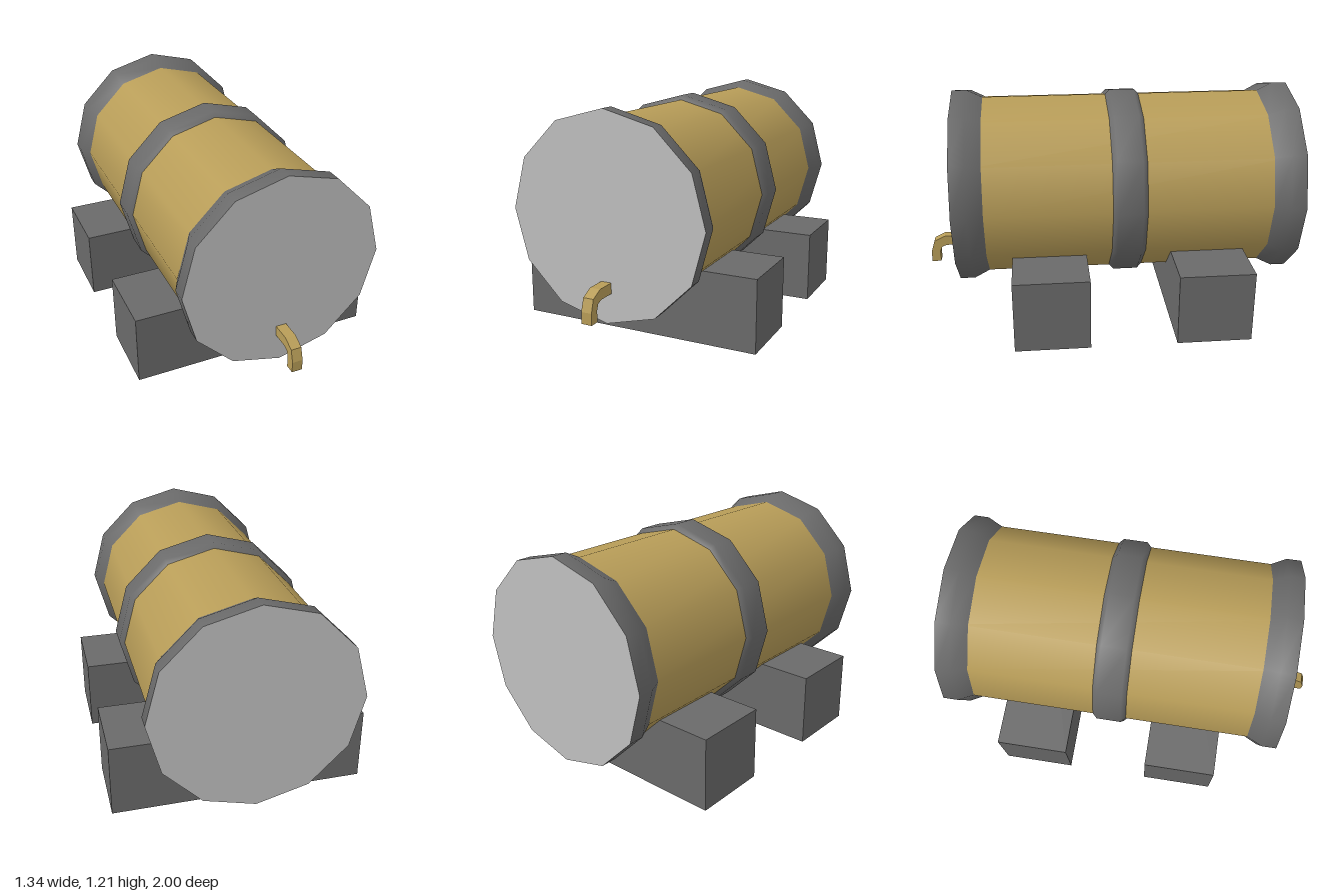
import * as THREE from 'three';

const CENTRE_Y = 0.68;
const SIDES = 12;

function createMaterials() {
  const make = (name, color, extra = {}) => {
    const m = new THREE.MeshStandardMaterial({ color, ...extra });
    m.name = name;
    return m;
  };
  return {
    gold: make('gold', 0xb89d58),
    darkGrey: make('dark grey', 0x6a6a6a, { side: THREE.DoubleSide }),
    lightGrey: make('light grey', 0xc0c0c0),
  };
}

export function createModel() {
  const group = new THREE.Group();
  const mat = createMaterials();

  const add = (name, geometry, material, x = 0, y = 0, z = 0) => {
    const mesh = new THREE.Mesh(geometry, material);
    mesh.name = name;
    mesh.position.set(x, y, z);
    group.add(mesh);
    return mesh;
  };

  // Twelve-sided shell around the z axis; profile is [radius, z] with z rising
  const shell = (profile) => {
    const points = profile.map(([r, z]) => new THREE.Vector2(r, z));
    return new THREE.LatheGeometry(points, SIDES).rotateX(Math.PI / 2);
  };

  // Barrel body and its three hoops
  add('barrelBody', shell([[0.49, -0.9], [0.49, 0.72]]), mat.gold, 0, CENTRE_Y);
  add('frontHoop', shell([[0.49, 0.66], [0.53, 0.74], [0.53, 0.82]]), mat.darkGrey, 0, CENTRE_Y);
  add('middleHoop', shell([[0.49, -0.18], [0.515, -0.155], [0.515, -0.025], [0.49, 0]]),
    mat.darkGrey, 0, CENTRE_Y);
  add('rearHoop', shell([[0.53, -1], [0.53, -0.92], [0.49, -0.84]]), mat.darkGrey, 0, CENTRE_Y);

  // Flat end caps, with a corner at the top
  const cap = () => new THREE.CircleGeometry(0.53, SIDES);
  add('frontCap', cap(), mat.lightGrey, 0, CENTRE_Y, 0.82);
  add('rearCap', cap().rotateY(Math.PI), mat.lightGrey, 0, CENTRE_Y, -1);

  // Support blocks, open underneath
  for (const [name, z] of [['frontSupport', 0.33], ['rearSupport', -0.52]]) {
    const block = new THREE.BoxGeometry(1.34, 0.39, 0.395);
    const index = Array.from(block.index.array);
    index.splice(18, 6);
    block.setIndex(index);
    block.clearGroups();
    add(name, block, mat.darkGrey, 0, 0.195, z);
  }

  // Bent tap: side outline in (z, y), extruded across x
  const outline = [
    [0.81, 0.365], [0.92, 0.365], [0.98, 0.335], [1, 0.27], [1, 0.21],
    [0.95, 0.21], [0.95, 0.27], [0.938, 0.3], [0.91, 0.31], [0.81, 0.31],
  ].map(([z, y]) => new THREE.Vector2(z, y));
  const tap = new THREE.ExtrudeGeometry(new THREE.Shape(outline), { depth: 0.056, bevelEnabled: false });
  tap.translate(0, 0, -0.028).rotateY(-Math.PI / 2);
  add('tap', tap, mat.gold);

  return group;
}
